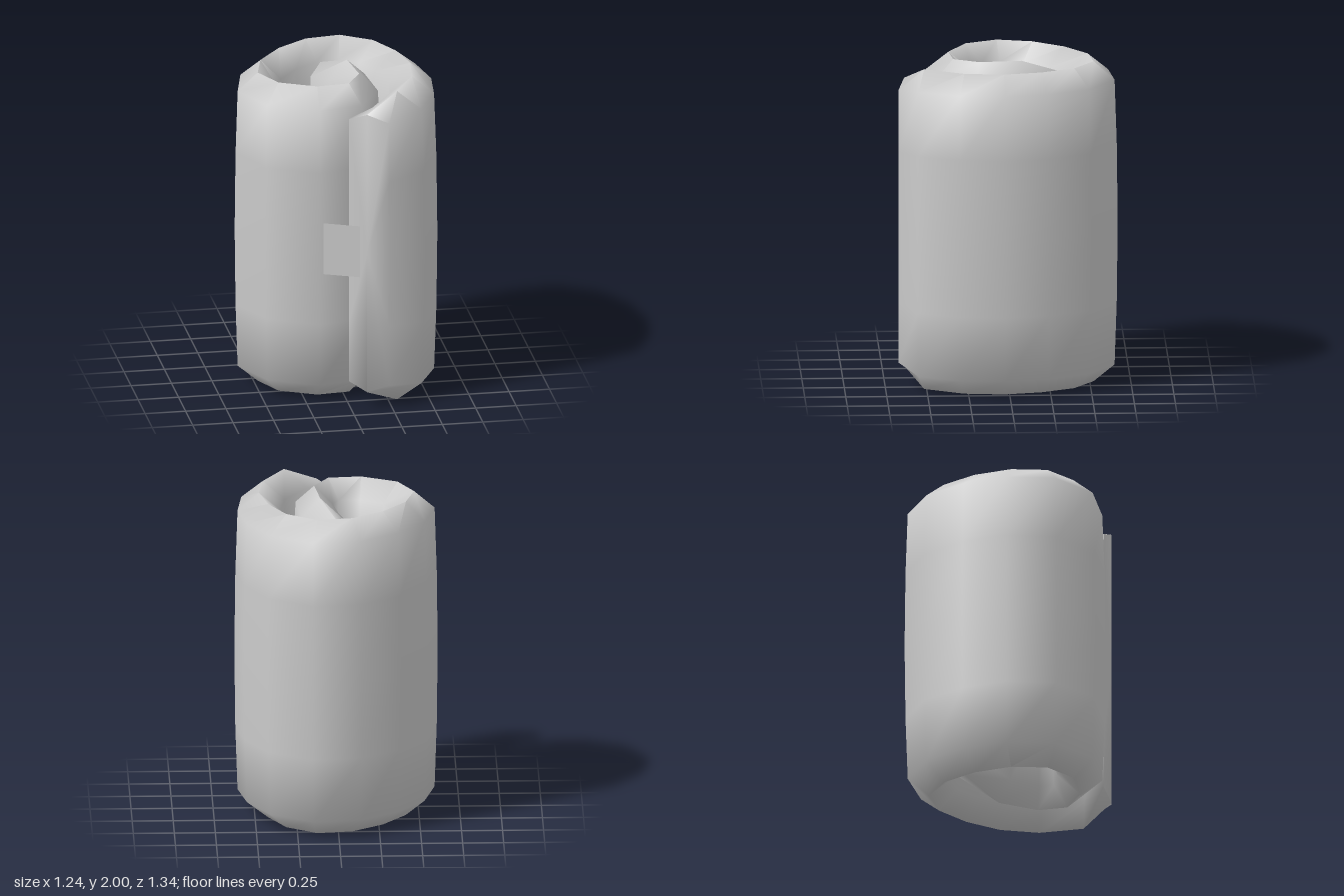
import * as THREE from 'three';
import { toCreasedNormals } from 'three/addons/utils/BufferGeometryUtils.js';

// Spiral stations from outer end to inner end: [outer x, outer z, inner x, inner z]
const STATIONS = [
  [0.23, 0.67, 0, 0.55], [0.47, 0.56, 0.14, 0.47], [0.59, 0.31, 0.29, 0.24],
  [0.62, 0.03, 0.32, 0.04], [0.57, -0.24, 0.27, -0.15], [0.43, -0.5, 0.2, -0.3],
  [0.16, -0.67, 0.1, -0.38], [-0.14, -0.64, -0.03, -0.35], [-0.38, -0.47, -0.17, -0.25],
  [-0.55, -0.24, -0.29, -0.1], [-0.62, 0.06, -0.33, 0.03], [-0.48, 0.35, -0.28, 0.13],
  [-0.17, 0.51, -0.15, 0.19], [0.11, 0.45, -0.03, 0.21], [0.26, 0.2, 0, 0.14],
  [0.23, -0.13, -0.03, -0.04], [0.11, -0.35, -0.1, -0.23],
];
const END_MIDDLES = [[0.1, 0.63], [-0.02, -0.34]];

// Rolled mat: a tall padded cross-section swept along the spiral
function rollGeometry() {
  const pos = [], index = [];
  const last = STATIONS.length - 1;
  STATIONS.forEach(([ox, oz, ix, iz], i) => {
    const isEnd = i === 0 || i === last;
    const half = isEnd ? 0.85 : 0.89;   // shoulder height from the middle
    const crown = isEnd ? 0.9 : 1;      // crest height from the middle
    const [mx, mz] = i === 0 ? END_MIDDLES[0] : i === last ? END_MIDDLES[1]
      : [(ox + ix) / 2, (oz + iz) / 2];
    const rows = [1, 0.55, 0, -0.55, -1];
    const side = (ax, az, bx, bz, t) => {
      const s = isEnd ? 0 : 0.065 * t * t; // slight bulge at mid height
      pos.push(ax + (bx - ax) * s, 1 + half * t, az + (bz - az) * s);
    };
    rows.forEach((t) => side(ox, oz, ix, iz, t));
    pos.push(mx, 1 - crown, mz);
    rows.forEach((t) => side(ix, iz, ox, oz, -t));
    pos.push(mx, 1 + crown, mz);
  });
  const n = 12;
  for (let i = 0; i < last; i++) {
    for (let j = 0; j < n; j++) {
      const a = i * n + j, b = i * n + (j + 1) % n;
      index.push(a, b, a + n, b, b + n, a + n);
    }
  }
  // Rounded end caps
  END_MIDDLES.forEach(([x, z], e) => {
    const c = pos.length / 3, base = e * last * n;
    pos.push(x, 1, z);
    for (let j = 0; j < n; j++) {
      const a = base + j, b = base + (j + 1) % n;
      if (e) index.push(c, a, b); else index.push(c, b, a);
    }
  });
  const g = new THREE.BufferGeometry();
  g.setAttribute('position', new THREE.Float32BufferAttribute(pos, 3));
  g.setIndex(index);
  return toCreasedNormals(g, 1.4);
}

export function createModel() {
  const group = new THREE.Group();
  group.name = 'rolledMat';

  const roll = new THREE.Mesh(rollGeometry(), new THREE.MeshStandardMaterial({ color: 0xcccccc }));
  roll.name = 'roll';
  group.add(roll);

  // Thin strip that holds the loose end to the roll
  const [x0, z0, x1, z1] = [-0.15, 0.512, 0.06, 0.605];
  const strip = new THREE.Mesh(
    new THREE.PlaneGeometry(Math.hypot(x1 - x0, z1 - z0), 0.33),
    new THREE.MeshStandardMaterial({ color: 0xcccccc, side: THREE.DoubleSide }));
  strip.name = 'closingStrip';
  strip.position.set((x0 + x1) / 2, 1.005, (z0 + z1) / 2);
  strip.rotation.y = -Math.atan2(z1 - z0, x1 - x0);
  group.add(strip);

  return group;
}
